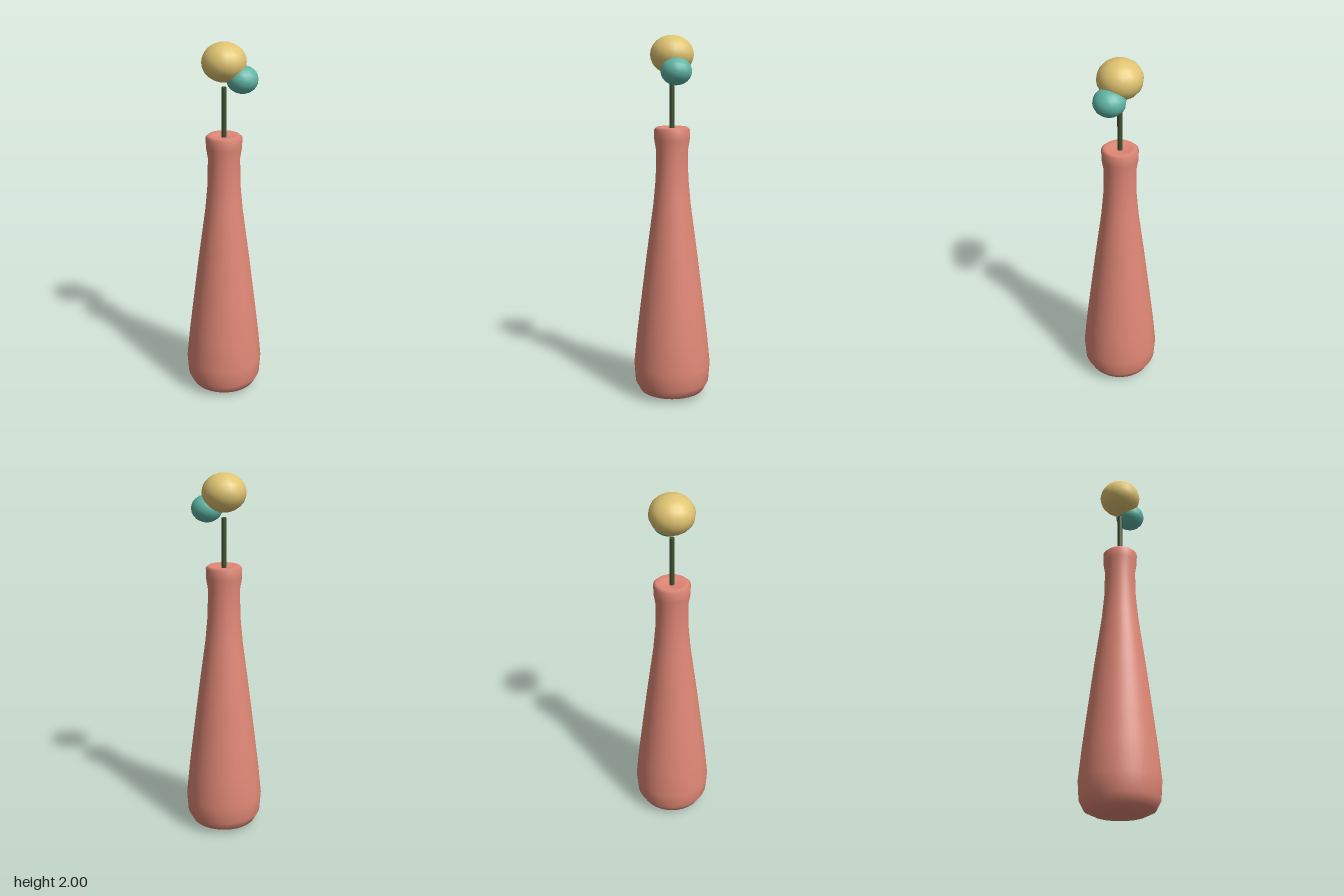
import * as THREE from 'three';

const paint = (name, color) => {
  const m = new THREE.MeshStandardMaterial({ color });
  m.name = name;
  return m;
};

export function createModel() {
  const clay = paint('clay', 0xe08876);
  const green = paint('stemGreen', 0x3f5233);
  const yellow = paint('yellow', 0xe0c471);
  const teal = paint('teal', 0x5fb5a5);

  const group = new THREE.Group();
  const add = (name, geometry, material, x = 0, y = 0, z = 0) => {
    const mesh = new THREE.Mesh(geometry, material);
    mesh.name = name;
    mesh.position.set(x, y, z);
    group.add(mesh);
    return mesh;
  };

  // Vase: base, rounded foot, tapering body, neck, lip and shallow dished top
  const profile = [
    [0, 0], [0.13, 0.006], [0.182, 0.03], [0.208, 0.08], [0.215, 0.18],
    [0.198, 0.35], [0.176, 0.53], [0.141, 0.81], [0.102, 1.1], [0.089, 1.24],
    [0.086, 1.39], [0.096, 1.45], [0.097, 1.505], [0.083, 1.518],
    [0.06, 1.512], [0, 1.505],
  ].map(([r, y]) => new THREE.Vector2(r, y));
  add('vase', new THREE.LatheGeometry(profile, 48), clay);

  // Stem standing in the neck
  add('stem', new THREE.CylinderGeometry(0.014, 0.014, 0.37, 10), green, 0, 1.585, 0);

  // Slightly flattened blossoms
  const blossom = (name, r, material, x, y, z) =>
    add(name, new THREE.SphereGeometry(r, 16, 12), material, x, y, z).scale.set(1, 0.87, 1);
  blossom('largeBlossom', 0.117, yellow, 0, 1.898, 0);
  blossom('smallBlossom', 0.083, teal, 0.084, 1.813, -0.045);

  return group;
}
